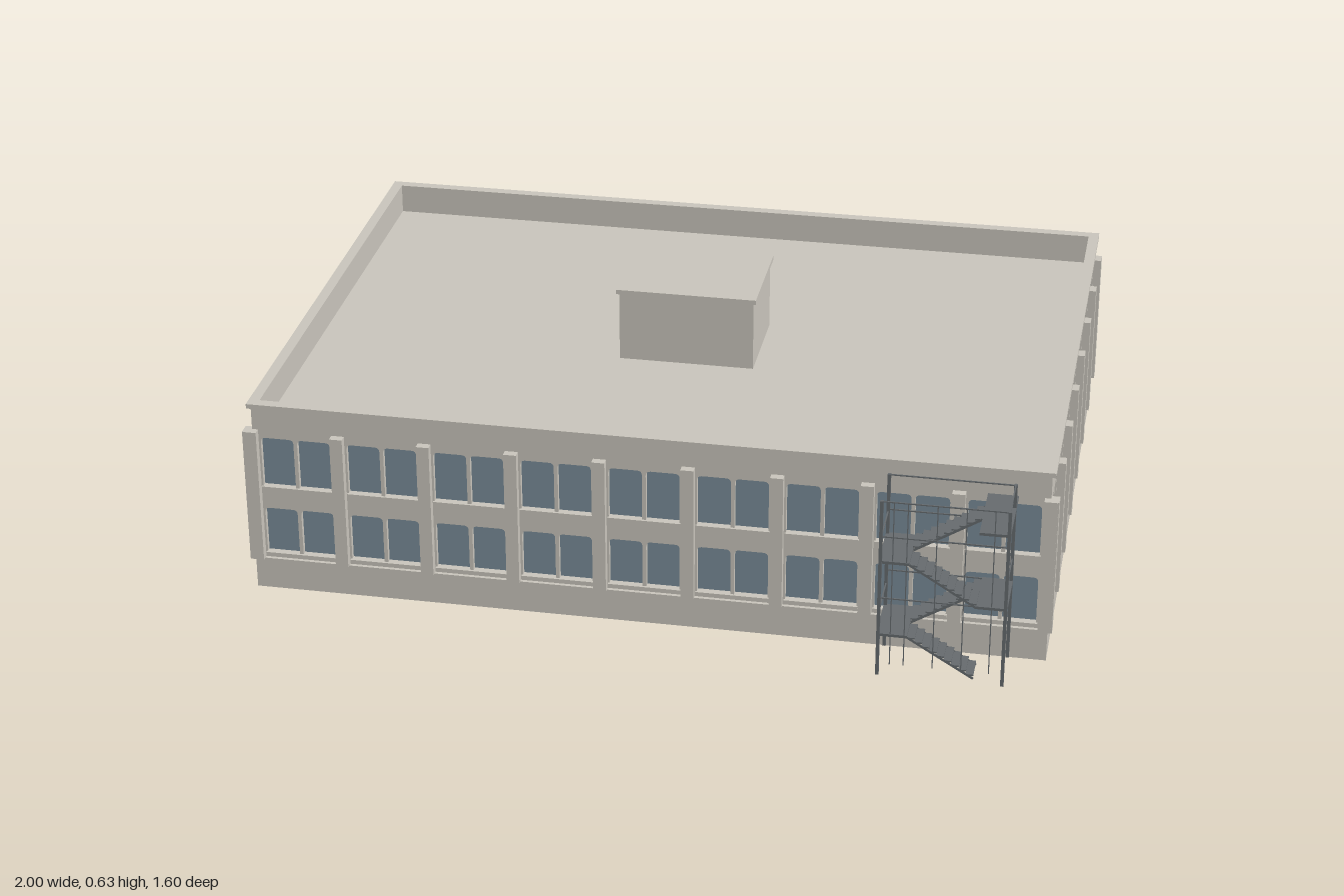
import * as THREE from 'three';

const mat = (name, color, side = THREE.FrontSide) => {
  const m = new THREE.MeshStandardMaterial({ color, side });
  m.name = name;
  return m;
};

export function createModel() {
  const stone = mat('stone', 0xc9c5bc);
  const glass = mat('glass', 0x7a8c99, THREE.DoubleSide);
  const metal = mat('metal', 0x666b6e);
  const model = new THREE.Group();
  model.name = 'officeBuilding';

  const add = (parent, name, geometry, material) => {
    const mesh = new THREE.Mesh(geometry, material);
    mesh.name = name;
    parent.add(mesh);
    return mesh;
  };
  // Box given by its limits on each axis
  const box = (parent, name, material, x0, x1, y0, y1, z0, z1) => {
    const mesh = add(parent, name, new THREE.BoxGeometry(x1 - x0, y1 - y0, z1 - z0), material);
    mesh.position.set((x0 + x1) / 2, (y0 + y1) / 2, (z0 + z1) / 2);
    return mesh;
  };
  const rect = (target, x0, x1, y0, y1) => {
    target.moveTo(x0, y0);
    target.lineTo(x1, y0);
    target.lineTo(x1, y1);
    target.lineTo(x0, y1);
    target.closePath();
    return target;
  };

  const building = new THREE.Group();
  building.name = 'building';
  building.position.z = -0.088;
  model.add(building);
  const HX = 0.98, HZ = 0.692, T = 0.018;

  // Hollow rectangular bands: plinth and parapet cap
  const ring = (name, out, inset, y0, y1) => {
    const shape = rect(new THREE.Shape(), -HX - out, HX + out, -HZ - out, HZ + out);
    shape.holes.push(rect(new THREE.Path(), -HX + inset, HX - inset, -HZ + inset, HZ - inset));
    const geometry = new THREE.ExtrudeGeometry(shape, { depth: y1 - y0, bevelEnabled: false });
    geometry.rotateX(-Math.PI / 2).translate(0, y0, 0);
    add(building, name, geometry, stone);
  };
  ring('plinth', 0.009, T, 0, 0.083);
  ring('parapetCap', 0.009, T, 0.5, 0.512);

  // Window outline with rounded top corners
  const windowOutline = (target, cx, w, y0, y1) => {
    const r = 0.012, l = cx - w / 2, e = cx + w / 2;
    target.moveTo(l, y0);
    target.lineTo(e, y0);
    target.lineTo(e, y1 - r);
    target.quadraticCurveTo(e, y1, e - r, y1);
    target.lineTo(l + r, y1);
    target.quadraticCurveTo(l, y1, l, y1 - r);
    target.closePath();
    return target;
  };

  // One facade: pierced wall, panes, sills and pilasters
  const facade = (name, angle, half, dist, bays, spacing, w, offset) => {
    const side = new THREE.Group();
    side.name = name;
    side.rotation.y = angle;
    building.add(side);
    const wall = rect(new THREE.Shape(), -half, half, 0.083, 0.5);
    const panes = [];
    for (let i = 0; i < bays; i++) {
      const cx = (i - (bays - 1) / 2) * spacing;
      for (const [y0, y1] of [[0.098, 0.222], [0.284, 0.418]]) {
        for (const s of [-1, 1]) {
          wall.holes.push(windowOutline(new THREE.Path(), cx + s * offset, w, y0, y1));
          panes.push(windowOutline(new THREE.Shape(), cx + s * offset, w, y0, y1));
        }
        const sw = spacing / 2 - 0.018;
        box(side, 'sill', stone, cx - sw, cx + sw, y0 - 0.006, y0, dist - 0.002, dist + 0.006);
      }
    }
    const geometry = new THREE.ExtrudeGeometry(wall, { depth: T, bevelEnabled: false, curveSegments: 4 });
    add(side, 'wall', geometry, stone).position.z = dist - T;
    add(side, 'windowPanes', new THREE.ShapeGeometry(panes, 4), glass).position.z = dist - 0.013;
    for (let i = 0; i <= bays; i++) {
      const cx = (i - bays / 2) * spacing;
      box(side, 'pilaster', stone, cx - 0.016, cx + 0.016, 0.083, 0.44, dist - 0.002, dist + 0.02);
    }
  };
  facade('frontFacade', 0, HX, HZ, 9, 0.218, 0.083, 0.0462);
  facade('backFacade', Math.PI, HX, HZ, 9, 0.218, 0.083, 0.0462);
  facade('leftFacade', Math.PI / 2, HZ - T, HX, 7, 0.1985, 0.071, 0.04);
  facade('rightFacade', -Math.PI / 2, HZ - T, HX, 7, 0.1985, 0.071, 0.04);

  // Roof deck and rooftop room
  box(building, 'roofDeck', stone, -HX + T, HX - T, 0.422, 0.434, -HZ + T, HZ - T);
  box(building, 'roofRoom', stone, -0.173, 0.173, 0.434, 0.62, -0.131, 0.131);
  box(building, 'roofRoomCap', stone, -0.18, 0.18, 0.618, 0.63, -0.139, 0.139);

  // Fire escape
  const stairs = new THREE.Group();
  stairs.name = 'fireEscape';
  model.add(stairs);
  const X0 = 0.597, X1 = 0.903, L = 0.67, R = 0.83, Z0 = 0.658, Z1 = 0.798;
  const bar = (name, x, y0, y1, z, t) => box(stairs, name, metal, x - t, x + t, y0, y1, z - t, z + t);
  for (const x of [X0 + 0.004, X1 - 0.004]) {
    for (const z of [Z0 + 0.003, Z1 - 0.003]) bar('post', x, 0.03, 0.5, z, 0.004);
  }
  for (const x of [0.63, 0.663, 0.732, 0.8, 0.866]) bar('baluster', x, 0.06, 0.5, Z1 - 0.003, 0.0012);

  // Landings with guard rails, alternating between the two ends
  const levels = [0.438, 0.339, 0.24, 0.142, 0.046];
  levels.slice(0, 4).forEach((y, i) => {
    const [a, b] = i % 2 ? [X0, L] : [R, X1];
    box(stairs, 'landing', metal, a, b, y - 0.005, y + 0.002, Z0, Z1);
    const end = i % 2 ? X0 + 0.004 : X1 - 0.004;
    box(stairs, 'endRail', metal, end - 0.0015, end + 0.0015, y + 0.06, y + 0.063, Z0, Z1);
  });
  for (const y of [0.498, 0.405, 0.24]) {
    for (const z of [Z0 + 0.003, Z1 - 0.003]) {
      box(stairs, 'longRail', metal, X0, X1, y - 0.0015, y + 0.0015, z - 0.0015, z + 0.0015);
    }
  }
  box(stairs, 'roofBridge', metal, R, X1, 0.432, 0.44, 0.567, Z0);

  // Flights of open treads on sloping stringers
  for (let f = 0; f < 4; f++) {
    const [z0, z1] = f % 2 ? [0.731, Z1 - 0.002] : [Z0 + 0.002, 0.724];
    const [xa, xb] = f % 2 ? [L, R] : [R, L];
    const ya = levels[f], yb = levels[f + 1], n = 9;
    for (let k = 0; k < n; k++) {
      const t = (k + 0.5) / n;
      const x = xa + (xb - xa) * t, y = ya + (yb - ya) * t;
      box(stairs, 'tread', metal, x - 0.0095, x + 0.0095, y - 0.002, y + 0.002, z0, z1);
    }
    for (const z of [z0 + 0.001, z1 - 0.001]) {
      const length = Math.hypot(xb - xa, yb - ya);
      const stringer = add(stairs, 'stringer', new THREE.BoxGeometry(length, 0.006, 0.002), metal);
      stringer.position.set((xa + xb) / 2, (ya + yb) / 2 - 0.004, z);
      stringer.rotation.z = Math.atan((yb - ya) / (xb - xa));
    }
  }
  return model;
}
